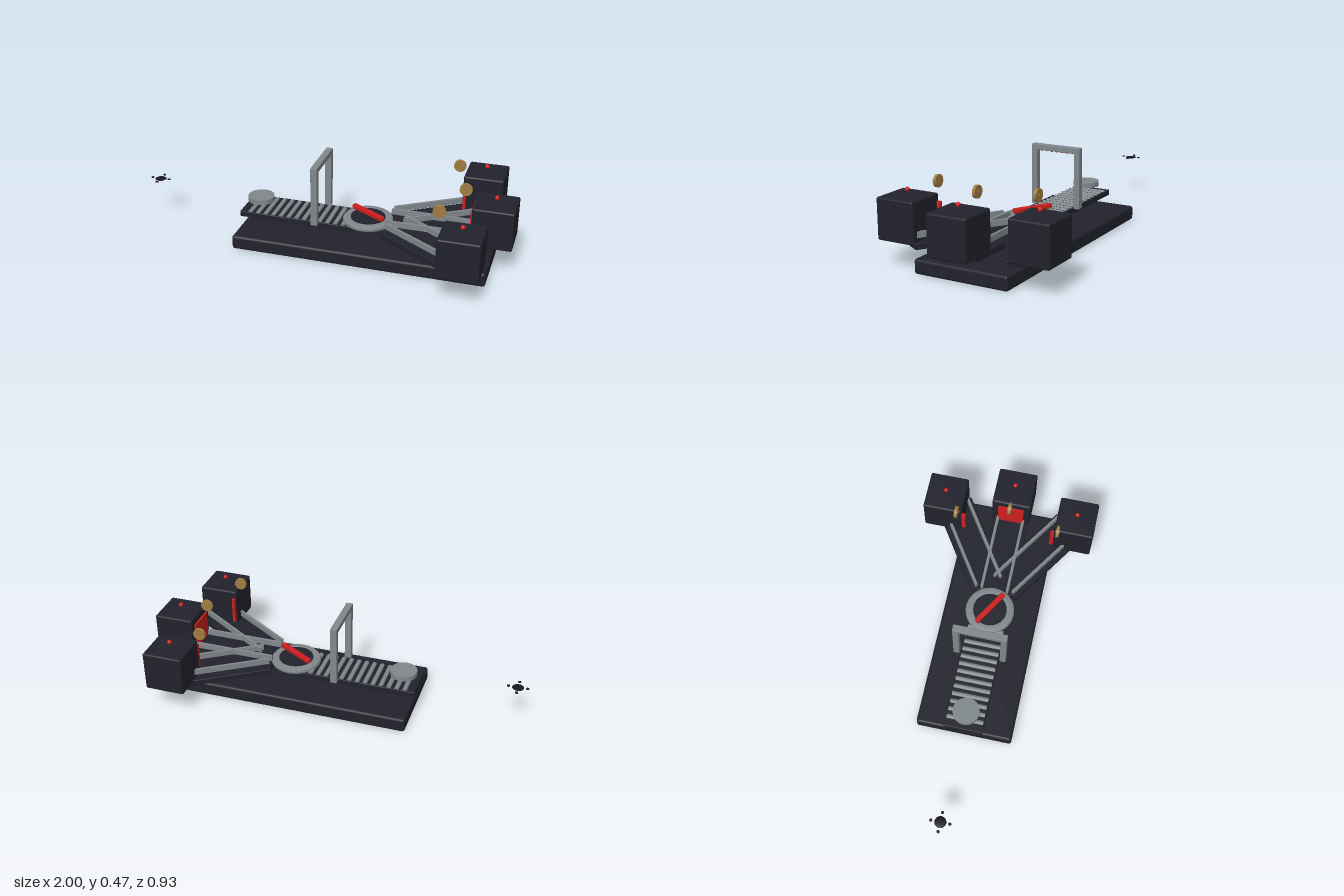
import * as THREE from 'three';
import { RoundedBoxGeometry } from 'three/addons/geometries/RoundedBoxGeometry.js';

const mat = (name, color, side = THREE.FrontSide) => {
  const m = new THREE.MeshStandardMaterial({ color, side });
  m.name = name;
  return m;
};

export function createModel() {
  const model = new THREE.Group();
  model.name = 'sortingStation';
  const dark = mat('darkNavy', 0x22222d);
  const grey = mat('steelGrey', 0x80878b);
  const red = mat('signalRed', 0xcc1f1f);
  const gold = mat('brass', 0xa07b42);
  const black = mat('droneBlack', 0x17171d);

  const add = (parent, name, geo, material, x, y, z) => {
    const m = new THREE.Mesh(geo, material);
    m.name = name;
    m.position.set(x, y, z);
    parent.add(m);
    return m;
  };
  const box = (w, h, d) => new THREE.BoxGeometry(w, h, d);
  const soft = (w, h, d, r) => new RoundedBoxGeometry(w, h, d, 3, r);
  const group = (name, x = 0, y = 0, z = 0) => {
    const g = new THREE.Group();
    g.name = name;
    g.position.set(x, y, z);
    model.add(g);
    return g;
  };

  // Base slab and main conveyor
  add(model, 'base', soft(1.325, 0.075, 0.51, 0.014), dark, 0.2325, 0.0375, 0);
  add(model, 'conveyorBed', soft(0.66, 0.03, 0.205, 0.004), dark, -0.11, 0.13, 0);
  const roller = new THREE.CylinderGeometry(0.013, 0.013, 0.195, 16).rotateX(Math.PI / 2);
  for (let i = 0; i < 13; i++) add(model, 'roller', roller, grey, -0.385 + i * 0.0425, 0.14, 0);
  add(model, 'parcelDisc', new THREE.CylinderGeometry(0.07, 0.07, 0.026, 32), grey, -0.355, 0.191, 0);

  // Scanner arch with lamps under the beam
  const arch = group('scannerArch', -0.0175);
  for (const s of [-1, 1]) add(arch, 'archPost', soft(0.035, 0.32, 0.032, 0.003), grey, 0, 0.302, s * 0.125);
  add(arch, 'archBeam', soft(0.035, 0.03, 0.282, 0.003), grey, 0, 0.45, 0);
  for (let i = -3; i <= 3; i++) add(arch, 'scanLamp', new THREE.SphereGeometry(0.004, 10, 8), red, 0, 0.432, i * 0.03);

  // Turntable: raised ring, dark plate and diverter arm
  const turntable = group('turntable', 0.235);
  const ring = [[0.088, 0.14], [0.125, 0.14], [0.131, 0.146], [0.131, 0.158], [0.125, 0.166], [0.094, 0.168], [0.088, 0.162], [0.088, 0.14]];
  add(turntable, 'turntableRing', new THREE.LatheGeometry(ring.map(p => new THREE.Vector2(...p)), 40), grey, 0, 0, 0);
  add(turntable, 'turntablePlate', new THREE.CylinderGeometry(0.09, 0.09, 0.04, 40), dark, 0, 0.15, 0);
  add(turntable, 'turntablePivot', new THREE.CylinderGeometry(0.055, 0.055, 0.022, 24), grey, 0, 0.128, 0);
  add(turntable, 'diverterArm', soft(0.215, 0.024, 0.026, 0.004), red, 0, 0.19, 0).rotation.y = -0.54;

  // Outgoing branches, each running along its own +x
  const branch = (name, x, z, yaw, length) => {
    const g = group(name, x, 0, z);
    g.rotation.y = yaw;
    add(g, 'branchBed', soft(length, 0.03, 0.2, 0.004), dark, length / 2, 0.13, 0);
    for (const s of [-1, 1]) add(g, 'branchRail', box(length, 0.03, 0.014), grey, length / 2, 0.18, s * 0.07);
  };
  branch('centreBranch', 0.345, 0, 0, 0.56);
  for (const s of [-1, 1]) branch('sideBranch', 0.39, s * 0.041, -s * 0.576, 0.53);

  // Collection bins with red panels, beacons and brass wheels
  const wheelDisc = new THREE.CylinderGeometry(0.032, 0.032, 0.016, 28).rotateX(Math.PI / 2);
  const wheelHub = new THREE.CylinderGeometry(0.01, 0.01, 0.022, 16).rotateX(Math.PI / 2);
  const bin = (x, z, panelX, panelZ, wheelX, wheelZ) => {
    const g = group('collectionBin');
    add(g, 'binBody', soft(0.21, 0.21, 0.21, 0.01), dark, x, 0.238, z);
    add(g, 'binPanel', box(0.014, 0.14, 0.14), red, panelX, 0.235, panelZ);
    add(g, 'beacon', new THREE.SphereGeometry(0.012, 16, 12), red, x, 0.37, z);
    add(g, 'wheel', wheelDisc, gold, wheelX, 0.393, wheelZ);
    add(g, 'wheelHub', wheelHub, gold, wheelX, 0.393, wheelZ);
  };
  bin(0.89, 0, 0.782, 0, 0.735, 0);
  for (const s of [-1, 1]) bin(0.785, s * 0.36, 0.692, s * 0.305, 0.655, s * 0.275);

  // Small hovering drone with four rotors
  const drone = group('drone', -0.944, 0.219, 0);
  add(drone, 'droneBody', new THREE.SphereGeometry(0.03, 20, 12).scale(1, 0.16, 1), black, 0, 0, 0);
  for (let i = 0; i < 4; i++) {
    const a = i * Math.PI / 2;
    add(drone, 'droneRotor', new THREE.CylinderGeometry(0.008, 0.008, 0.004, 12), black, Math.cos(a) * 0.048, 0.002, Math.sin(a) * 0.048);
  }
  return model;
}
